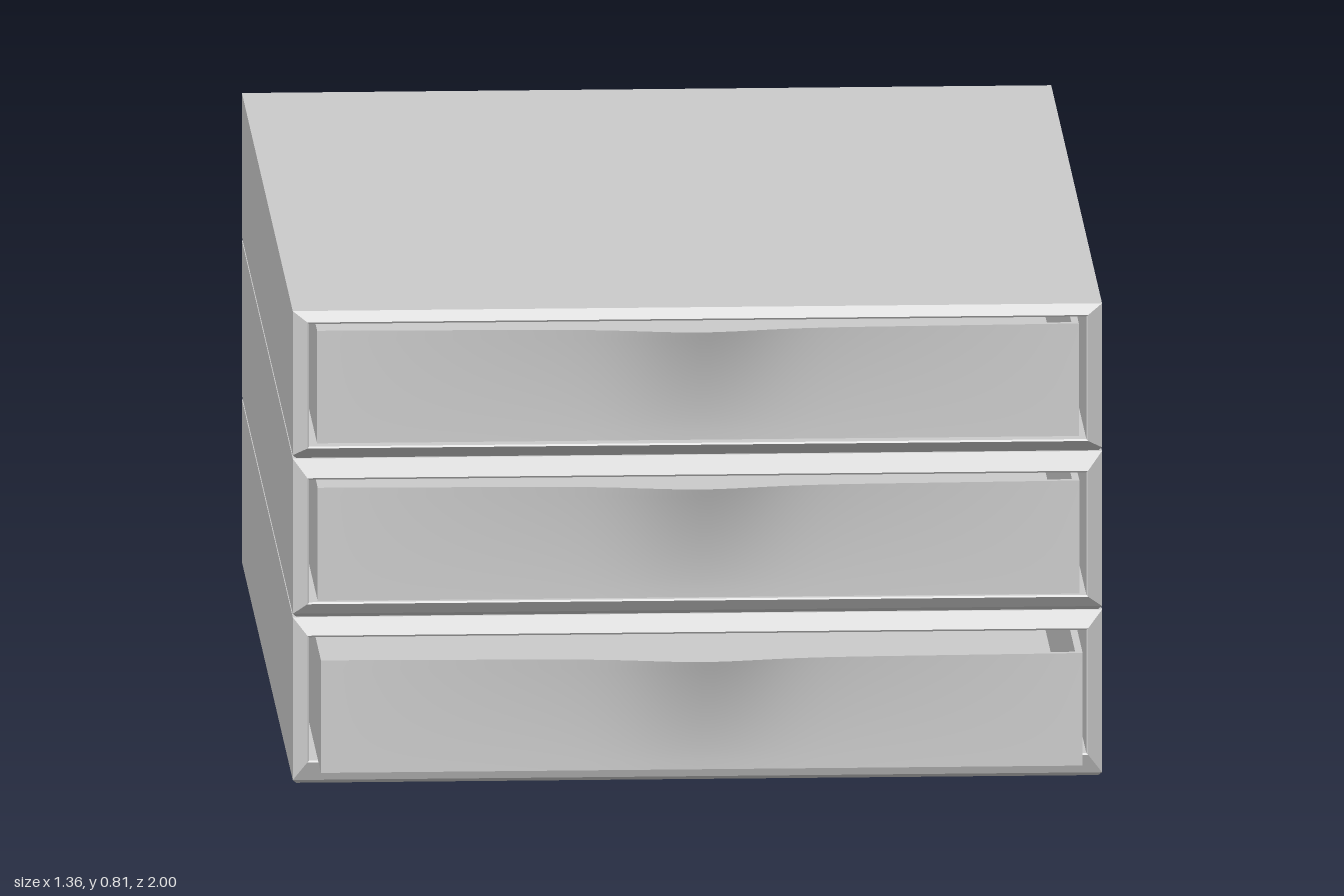
import * as THREE from 'three';

const W = 0.68;          // half width of the housing
const OPEN = 0.653;      // half width of an opening
const BACK = -1, FRONT = 0.8;
const C = 0.006;         // bevel along the seams
const material = new THREE.MeshStandardMaterial({ color: 0xcccccc });

// y0, y1: housing; o0, o1: opening; d0, d1: drawer; z: drawer front
const units = [
  { name: 'bottom', y0: 0, y1: 0.285, o0: 0.042, o1: 0.253, d0: 0.05, d1: 0.243, z: 0.955 },
  { name: 'middle', y0: 0.285, y1: 0.557, o0: 0.313, o1: 0.523, d0: 0.321, d1: 0.515, z: 0.84 },
  { name: 'top', y0: 0.557, y1: 0.81, o0: 0.58, o1: 0.79, d0: 0.587, d1: 0.78, z: 0.82 },
];

function addMesh(parent, geometry, name) {
  const mesh = new THREE.Mesh(geometry, material);
  mesh.name = name;
  parent.add(mesh);
  return mesh;
}

function addBox(parent, name, w, h, d, x, y, z) {
  addMesh(parent, new THREE.BoxGeometry(w, h, d), name).position.set(x, y, z);
}

// Six-point outline, counter-clockwise from the front; c cuts the lower corners
function ring(w, y0, y1, z, c = 0) {
  return [[-w + c, y0], [w - c, y0], [w, y0 + c], [w, y1], [-w, y1], [-w, y0 + c]]
    .map(([x, y]) => new THREE.Vector3(x, y, z));
}

// Skins consecutive outlines and closes the first and last one
function loft(rings) {
  const points = [];
  const n = rings[0].length;
  // Uncut corners coincide, so empty triangles are left out
  const face = (a, b, c) => {
    if (new THREE.Triangle(a, b, c).getArea() > 1e-9) points.push(a, b, c);
  };
  for (let r = 0; r < rings.length - 1; r++) {
    const a = rings[r], b = rings[r + 1];
    for (let i = 0; i < n; i++) {
      const j = (i + 1) % n;
      face(a[i], a[j], b[j]);
      face(a[i], b[j], b[i]);
    }
  }
  const first = rings[0], last = rings[rings.length - 1];
  for (let i = 1; i < n - 1; i++) {
    face(first[0], first[i + 1], first[i]);
    face(last[0], last[i], last[i + 1]);
  }
  const geometry = new THREE.BufferGeometry().setFromPoints(points);
  geometry.computeVertexNormals();
  return geometry;
}

// Hollow housing: back, outer walls, sloping front frame, inner cavity
function housing({ y0, y1, o0, o1 }) {
  return loft([
    ring(W, y0 + C, y1, BACK),
    ring(W, y0, y1, BACK + C, C),
    ring(W, y0, y1, FRONT - C, C),
    ring(W, y0 + C, y1, FRONT),
    ring(OPEN + 0.003, o0 - 0.003, o1 + 0.003, FRONT + 0.014),
    ring(OPEN, o0, o1, FRONT + 0.012),
    ring(OPEN, o0, o1, BACK + 0.025),
  ]);
}

// Thin front panel, swelling forward into a finger lip at the top centre
function drawerFront(width, height, thickness) {
  const geometry = new THREE.BoxGeometry(width, height, thickness, 64, 12, 1);
  const p = geometry.attributes.position;
  for (let i = 0; i < p.count; i++) {
    const x = p.getX(i);
    const t = THREE.MathUtils.clamp(p.getY(i) / height + 0.5, 0, 1);
    const broad = 0.018 * (1 - Math.abs(x) / (width / 2)) * t ** 2;
    const lip = 0.027 * Math.exp(-((x / 0.13) ** 2)) * t ** 1.5;
    p.setZ(i, p.getZ(i) + broad + lip);
  }
  geometry.computeVertexNormals();
  return geometry;
}

// Open tray behind the curved front
function drawer({ name, d0, d1, z }) {
  const group = new THREE.Group();
  group.name = name + 'Drawer';
  const width = 1.28, h = d1 - d0, t = 0.012, depth = 1.7;
  const mid = (d0 + d1) / 2;
  addMesh(group, drawerFront(width, h, t), 'drawerFront').position.set(0, mid, z - t / 2);
  const zc = z - t - depth / 2 + 0.001;
  addBox(group, 'drawerFloor', width - 2 * t, t, depth, 0, d0 + t / 2, zc);
  addBox(group, 'drawerBack', width - 2 * t, h, t, 0, mid, zc - depth / 2 + t / 2);
  for (const s of [-1, 1]) {
    addBox(group, s > 0 ? 'drawerLeftWall' : 'drawerRightWall',
      t, h, depth, s * (width - t) / 2, mid, zc);
  }
  return group;
}

export function createModel() {
  const model = new THREE.Group();
  model.name = 'stackedDrawerUnit';
  for (const unit of units) {
    addMesh(model, housing(unit), unit.name + 'Housing');
    model.add(drawer(unit));
  }
  return model;
}
